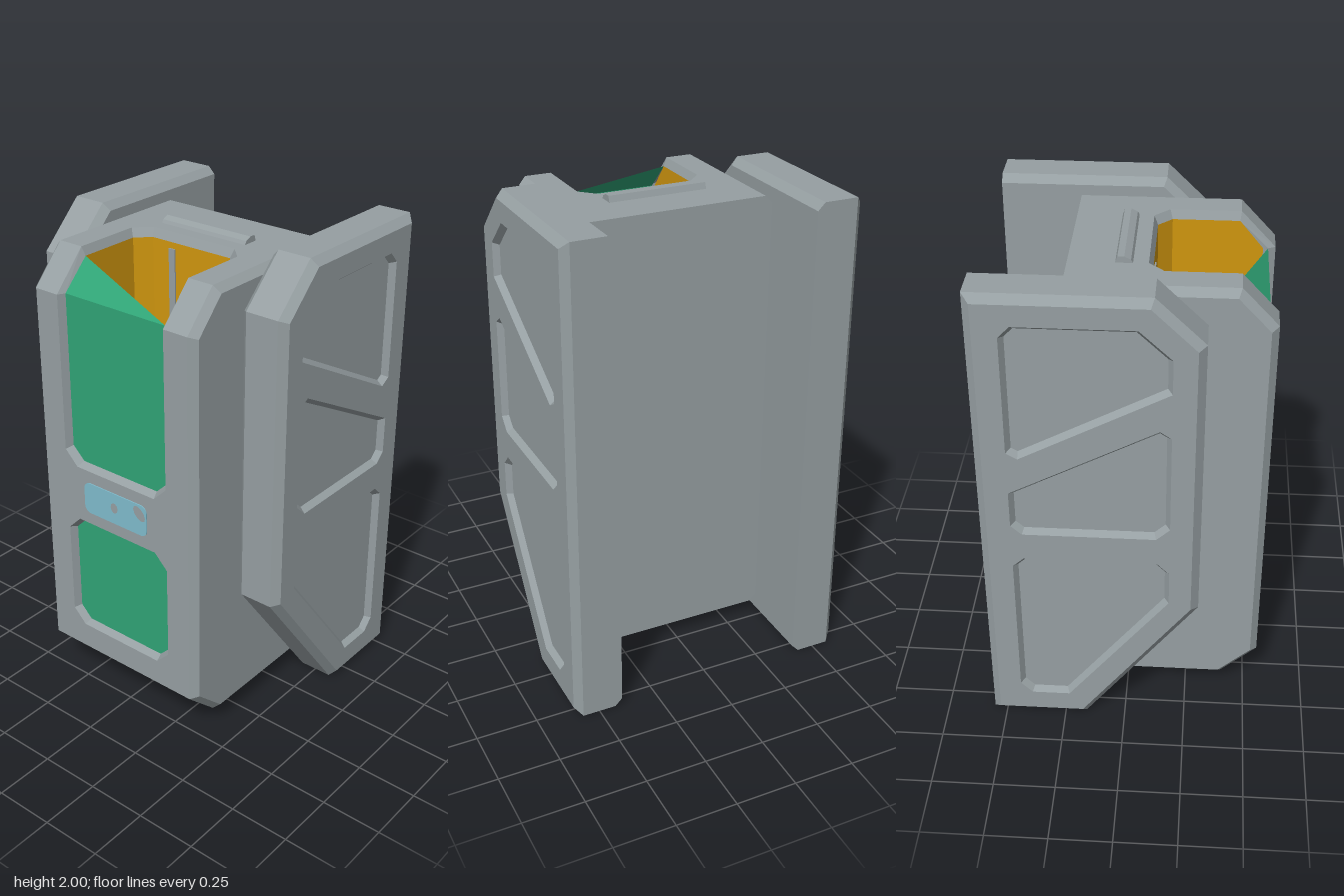
import * as THREE from 'three';

const V = (x, y, z) => new THREE.Vector3(x, y, z);

// Adds a triangle wound so that its normal agrees with dir.
function tri(out, a, b, c, dir) {
  const n = b.clone().sub(a).cross(c.clone().sub(a));
  out.push(...(n.dot(dir) < 0 ? [a, c, b] : [a, b, c]));
}

// Flat face from a 2D outline with holes, mapped to space.
function face(out, outline, holes, map, dir) {
  const toV2 = (l) => l.map(([u, v]) => new THREE.Vector2(u, v));
  const pts = [outline, ...holes].flat().map(([u, v]) => map(u, v));
  const tris = THREE.ShapeUtils.triangulateShape(toV2(outline), holes.map(toV2));
  for (const [a, b, c] of tris) tri(out, pts[a], pts[b], pts[c], dir);
}

// Band of quads between two closed loops; sign 1 faces away from centre, -1 towards it.
function band(out, A, B, centre, sign = 1) {
  A.forEach((a, i) => {
    const j = (i + 1) % A.length;
    const mid = a.clone().add(A[j]).add(B[j]).add(B[i]).multiplyScalar(0.25);
    const dir = mid.sub(centre).multiplyScalar(sign);
    tri(out, a, A[j], B[j], dir);
    tri(out, a, B[j], B[i], dir);
  });
}

// Moves each polygon edge inwards by d, except edge number `keep`.
function inset(pts, d, keep = -1) {
  const n = pts.length;
  const area = pts.reduce((s, p, i) => s + p[0] * pts[(i + 1) % n][1] - p[1] * pts[(i + 1) % n][0], 0);
  const line = (i) => {
    const p = pts[i], q = pts[(i + 1) % n];
    const l = Math.hypot(q[0] - p[0], q[1] - p[1]) * Math.sign(area);
    const nx = -(q[1] - p[1]) / l, ny = (q[0] - p[0]) / l;
    return [nx, ny, nx * p[0] + ny * p[1] + (i === keep ? 0 : d)];
  };
  return pts.map((_, i) => {
    const [a, b, e] = line((i + n - 1) % n), [c, f, g] = line(i);
    const det = a * f - b * c;
    return [(e * f - b * g) / det, (a * g - e * c) / det];
  });
}

// Sunken pocket with sloping walls; returns nothing, floor goes to floorOut.
function pocket(out, floorOut, hole, slope, top, bottom, dir) {
  const small = inset(hole, slope);
  const c = hole.reduce((s, [u, v]) => s.add(top(u, v)), V(0, 0, 0)).divideScalar(hole.length);
  band(out, hole.map((p) => top(...p)), small.map((p) => bottom(...p)), c, -1);
  face(floorOut, small, [], bottom, dir);
}

function mesh(name, points, material) {
  const g = new THREE.BufferGeometry().setFromPoints(points);
  g.computeVertexNormals();
  const m = new THREE.Mesh(g, material);
  m.name = name;
  return m;
}

// Outlines as [z, y]
const PANEL = [[-0.555, 0], [-0.555, 2], [0.11, 2], [0.295, 1.82], [0.295, 0.61], [-0.16, 0]];
const POCKETS = [
  [[0.178, 1.77], [0.056, 1.885], [-0.39, 1.885], [-0.433, 1.84], [-0.433, 1.35], [-0.39, 1.325], [0.178, 1.63]],
  [[0.178, 1.44], [0.135, 1.47], [-0.433, 1.165], [-0.433, 1.01], [-0.39, 0.97], [0.125, 0.97], [0.178, 1.02]],
  [[0.178, 0.8], [0.13, 0.85], [-0.39, 0.85], [-0.433, 0.81], [-0.433, 0.17], [-0.385, 0.12], [-0.23, 0.12], [0.178, 0.65]],
];
const BODY = [[-0.23, 0.07], [-0.23, 1.94], [0.41, 1.94], [0.55, 1.79], [0.55, 0.21], [0.4, 0.07]];

function sidePanel(s, material) {
  const out = [];
  const at = (x) => (z, y) => V(s * x, y, z);
  const loops = [[0.4, inset(PANEL, 0.03, 0)], [0.43, PANEL], [0.57, PANEL], [0.6, inset(PANEL, 0.03)]];
  const centre = V(s * 0.5, 1.1, -0.15);
  for (let i = 0; i < 3; i++) {
    const [a, b] = [loops[i], loops[i + 1]].map(([x, l]) => l.map((p) => at(x)(...p)));
    band(out, a, b, centre);
  }
  face(out, loops[0][1], [], at(0.4), V(-s, 0, 0));
  face(out, loops[3][1], POCKETS, at(0.6), V(s, 0, 0));
  for (const p of POCKETS) pocket(out, out, p, 0.018, at(0.6), at(0.575), V(s, 0, 0));
  return mesh(s > 0 ? 'leftSidePanel' : 'rightSidePanel', out, material);
}

export function createModel() {
  const mat = (name, color) => {
    const m = new THREE.MeshStandardMaterial({ color, side: THREE.DoubleSide });
    m.name = name;
    return m;
  };
  const grey = mat('grey casing', 0x969fa2);
  const green = mat('green glass', 0x30a476);
  const orange = mat('orange interior', 0xd0960f);
  const blue = mat('light blue badge', 0x80bccd);
  const group = new THREE.Group();
  group.name = 'cabinet';

  group.add(sidePanel(1, grey), sidePanel(-1, grey));

  // Casing: sides with bevelled edges
  const body = [];
  const small = inset(BODY, 0.028, 0);
  for (const s of [1, -1]) {
    const at = (x) => (z, y) => V(s * x, y, z);
    band(body, BODY.map((p) => at(0.37)(...p)), small.map((p) => at(0.4)(...p)), V(0, 1, 0.15));
    face(body, small, [], at(0.4), V(s, 0, 0));
    // sloping strip beside the opening
    face(body, [[0.26, 0], [0.37, 0], [0.37, 1], [0.26, 1]], [],
      (x, t) => V(s * x, 1.79 + 0.15 * t, 0.55 - 0.14 * t), V(0, 1, 1));
  }
  // Casing: back, underside and lower slope
  const w = 0.37;
  for (const [i, dir] of [[0, V(0, 0, -1)], [4, V(0, -1, 1)], [5, V(0, -1, 0)]]) {
    const [p, q] = [BODY[i], BODY[(i + 1) % 6]];
    face(body, [[-w, 0], [w, 0], [w, 1], [-w, 1]], [],
      (x, t) => V(x, p[1] + (q[1] - p[1]) * t, p[0] + (q[0] - p[0]) * t), dir);
  }
  // Casing: front and top around the wrapped opening
  const lowerWindow = [[-0.2, 0.32], [0.2, 0.32], [0.26, 0.38], [0.26, 0.78], [0.2, 0.84], [-0.2, 0.84], [-0.26, 0.78], [-0.26, 0.38]];
  const front = (z) => (x, y) => V(x, y, z);
  const notch = (edge, end, far, step) => [[-w, far], [w, far], [w, end], [0.26, end], [0.26, edge + step],
    [0.2, edge], [-0.2, edge], [-0.26, edge + step], [-0.26, end], [-w, end]];
  face(body, notch(1.08, 1.79, 0.21, 0.06), [lowerWindow], front(0.55), V(0, 0, 1));
  face(body, notch(0.07, 0.41, -0.23, 0.06), [], (x, z) => V(x, 1.94, z), V(0, 1, 0));

  // Bevelled rim of the opening
  const loop = (half) => [...half.map(([x, y, z]) => V(x, y, z)),
    ...half.slice().reverse().map(([x, y, z]) => V(-x, y, z))];
  const rim = loop([[0.2, 1.08, 0.55], [0.26, 1.14, 0.55], [0.26, 1.79, 0.55], [0.26, 1.94, 0.41], [0.26, 1.94, 0.13], [0.2, 1.94, 0.07]]);
  const Q = loop([[0.19, 1.097, 0.52], [0.245, 1.15, 0.52], [0.245, 1.79, 0.52], [0.245, 1.905, 0.405], [0.245, 1.905, 0.14], [0.19, 1.905, 0.085]]);
  band(body, rim, Q, V(0, 1.65, 0.45), -1);

  // Green lower window and upper front pane with its slanted corner
  const glass = [];
  pocket(body, glass, lowerWindow, 0.015, front(0.55), front(0.52), V(0, 0, 1));
  group.add(mesh('lowerWindow', glass, green), mesh('casing', body, grey));
  const pane = [];
  face(pane, [0, 1, 2, 9, 10, 11].map((i) => [Q[i].x, Q[i].y]), [], front(0.52), V(0, 0, 1));
  tri(pane, Q[2], Q[8], Q[9], V(0, 1, 1));
  group.add(mesh('upperPane', pane, green));

  // Orange chamber behind the pane
  const chamber = [];
  const top = [2, 3, 4, 5, 6, 7, 8, 9].map((i) => Q[i].clone());
  top[0].z = top[7].z = 0.5;
  const floor = top.map((p) => V(p.x, 1.15, p.z));
  band(chamber, top.slice(0), floor, V(0, 1.5, 0.3), -1);
  chamber.splice(-6); // the front side stays open
  face(chamber, floor.map((p) => [p.x, p.z]), [], (x, z) => V(x, 1.15, z), V(0, 1, 0));
  group.add(mesh('chamber', chamber, orange));
  const strip = new THREE.Mesh(new THREE.BoxGeometry(0.03, 0.6, 0.006), grey);
  strip.name = 'chamberStrip';
  strip.position.set(-0.09, 1.58, 0.089);
  group.add(strip);

  // Handle bar on the roof
  const bar = [];
  const section = [[-0.055, 1.935], [-0.045, 1.965], [-0.02, 1.965], [0.005, 1.953], [0.015, 1.935]];
  const barAt = (x) => (z, y) => V(x, y, z);
  band(bar, section.map((p) => barAt(-0.205)(...p)), section.map((p) => barAt(0.205)(...p)), V(0, 1.945, -0.02));
  for (const s of [1, -1]) face(bar, section, [], barAt(0.205 * s), V(s, 0, 0));
  group.add(mesh('roofBar', bar, grey));

  // Rounded badge with two small marks
  const r = 0.03, bw = 0.163, bh = 0.068;
  const shape = new THREE.Shape();
  shape.absarc(bw - r, bh - r, r, 0, Math.PI / 2);
  shape.absarc(r - bw, bh - r, r, Math.PI / 2, Math.PI);
  shape.absarc(r - bw, r - bh, r, Math.PI, Math.PI * 1.5);
  shape.absarc(bw - r, r - bh, r, Math.PI * 1.5, Math.PI * 2);
  const badge = new THREE.Mesh(new THREE.ExtrudeGeometry(shape, { depth: 0.004, bevelEnabled: false, curveSegments: 6 }), blue);
  badge.name = 'badge';
  badge.position.set(0, 0.961, 0.55);
  group.add(badge);
  for (const [x, y, sx, turn] of [[-0.003, 0.965, 0.8, 0], [0.128, 0.99, 1.6, -0.8]]) {
    const mark = new THREE.Mesh(new THREE.CircleGeometry(0.023, 10), grey);
    mark.name = 'badgeMark';
    mark.position.set(x, y, 0.556);
    mark.scale.x = sx;
    mark.rotation.z = turn;
    group.add(mark);
  }
  return group;
}
